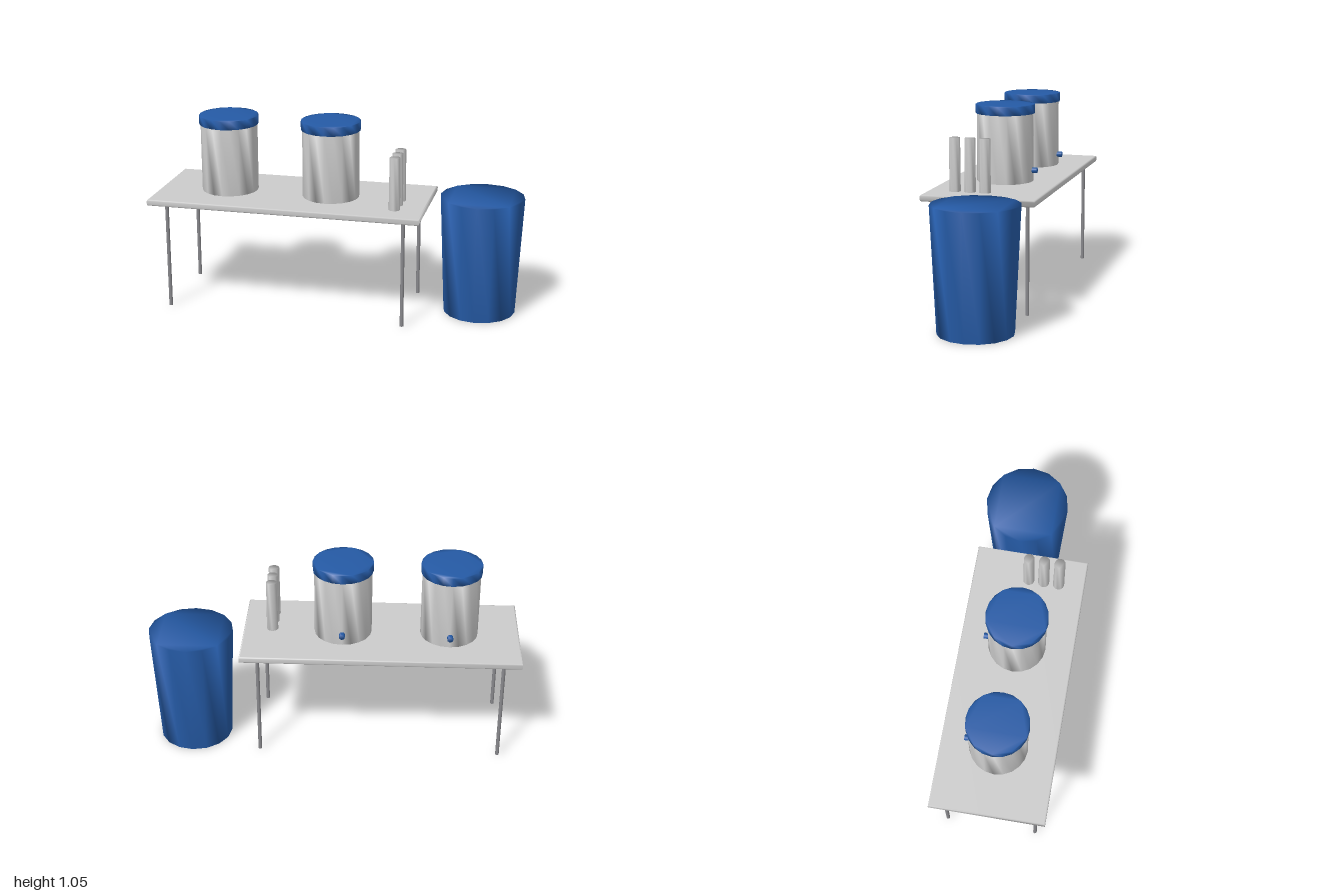
import * as THREE from 'three';
import { mergeVertices } from 'three/addons/utils/BufferGeometryUtils.js';

const grey = new THREE.MeshStandardMaterial({ color: 0xcccccc });
const blue = new THREE.MeshStandardMaterial({ color: 0x255aa5 });
const steel = new THREE.MeshStandardMaterial({ color: 0x88888c });

// Weld shared corners so shading runs smoothly over the edges
function smooth(geometry) {
  geometry.deleteAttribute('normal');
  geometry.deleteAttribute('uv');
  const welded = mergeVertices(geometry, 1e-4);
  welded.computeVertexNormals();
  return welded;
}

// Closed upright drum standing on y = 0, with flat polygon caps
function drum(rBottom, rTop, height, sides) {
  const points = [];
  for (let i = 0; i < sides; i++) {
    const a = (i / sides) * Math.PI * 2;
    points.push(new THREE.Vector2(Math.cos(a), Math.sin(a)));
  }
  const g = new THREE.ExtrudeGeometry(new THREE.Shape(points), { depth: height, bevelEnabled: false });
  g.rotateX(-Math.PI / 2);
  const p = g.attributes.position;
  for (let i = 0; i < p.count; i++) {
    const r = THREE.MathUtils.lerp(rBottom, rTop, p.getY(i) / height);
    p.setXYZ(i, p.getX(i) * r, p.getY(i), p.getZ(i) * r);
  }
  return smooth(g);
}

function add(parent, name, geometry, material, x, y, z) {
  const mesh = new THREE.Mesh(geometry, material);
  mesh.name = name;
  mesh.position.set(x, y, z);
  parent.add(mesh);
  return mesh;
}

export function createModel() {
  const model = new THREE.Group();
  model.name = 'drinksTable';

  // Table top with a softly chamfered edge
  const top = 0.627, under = 0.592, bevel = 0.008;
  const w = 0.745 - bevel, d = 0.307 - bevel;
  const outline = new THREE.Shape([
    new THREE.Vector2(-w, -d), new THREE.Vector2(w, -d),
    new THREE.Vector2(w, d), new THREE.Vector2(-w, d),
  ]);
  const slab = new THREE.ExtrudeGeometry(outline, {
    depth: top - under - 2 * bevel, bevelThickness: bevel, bevelSize: bevel, bevelSegments: 2,
  });
  slab.rotateX(-Math.PI / 2);
  add(model, 'tableTop', smooth(slab), grey, -0.255, under + bevel, 0);

  // Four slim legs
  const leg = drum(0.01, 0.01, under + 0.004, 12);
  for (const x of [-0.908, 0.398])
    for (const z of [-0.247, 0.247]) add(model, 'leg', leg, steel, x, 0, z);

  // Two drink coolers, each with a lid and a spigot at the back
  const body = drum(0.155, 0.155, 1.0 - top, 20);
  const lid = drum(0.162, 0.162, 0.048, 20);
  const spigot = drum(0.016, 0.016, 0.05, 12);
  for (const x of [-0.622, -0.049]) {
    const cooler = new THREE.Group();
    cooler.name = 'cooler';
    cooler.position.set(x, top, 0);
    add(cooler, 'coolerBody', body, grey, 0, 0, 0);
    add(cooler, 'coolerLid', lid, blue, 0, 1.0 - top, 0);
    add(cooler, 'spigot', spigot, blue, 0, 0.062, -0.13).rotation.x = -Math.PI / 2;
    model.add(cooler);
  }

  // Row of three tall cup stacks
  const cups = drum(0.031, 0.029, 0.284, 12);
  for (const z of [0, 0.082, 0.165]) add(model, 'cupStack', cups, grey, 0.335, top, z);

  // Tapered bin beside the table
  add(model, 'bin', drum(0.197, 0.228, 0.655, 16), blue, 0.77, 0, -0.082);

  return model;
}
